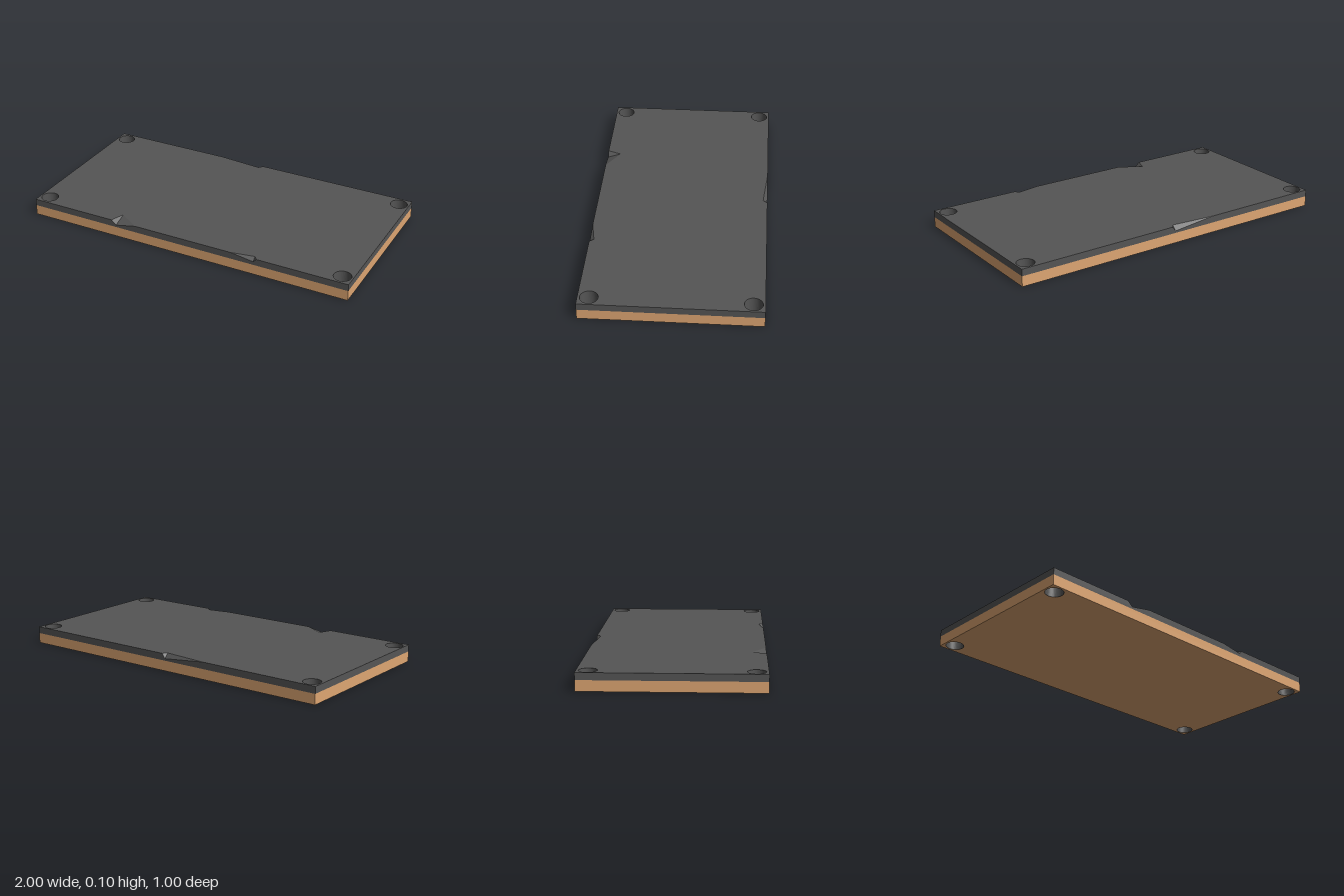
import * as THREE from 'three';
import { mergeGeometries } from 'three/addons/utils/BufferGeometryUtils.js';

const HX = 1, HZ = 0.5, SEAM = 0.06, TOP = 0.1;
const HOLE_X = 0.94, HOLE_Z = 0.437, HOLE_R = 0.05, LINER_R = 0.052;

// Chips broken out of the top edges: start and end along the edge,
// deepest point along it, reach into the top, drop down the wall.
const chips = [
  { side: 1, from: -0.47, to: -0.31, at: -0.44, reach: 0.08, drop: 0.027 },
  { side: 1, from: 0.3, to: 0.46, at: 0.44, reach: 0.025, drop: 0.02 },
  { side: -1, from: -0.27, to: 0.02, at: 0, reach: 0.025, drop: 0.028 },
];

const corners = [-1, 1].flatMap(sx => [-1, 1].map(sz => [sx * HOLE_X, sz * HOLE_Z]));

function circlePath(x, y, r) {
  return new THREE.Path().absarc(x, y, r, 0, Math.PI * 2, true);
}

function drillHoles(shape) {
  for (const [x, z] of corners) shape.holes.push(circlePath(x, z, LINER_R));
  return shape;
}

// Edge outline points of the chips on one side, in order of x
function notches(side, depth) {
  return chips.filter(c => c.side === side).flatMap(c => [
    [c.from, 0], [c.at, c[depth]], [c.to, 0],
  ]);
}

function shapeFrom(points) {
  return new THREE.Shape(points.map(p => new THREE.Vector2(...p)));
}

function triangle(a, b, c) {
  const g = new THREE.BufferGeometry();
  g.setAttribute('position', new THREE.Float32BufferAttribute([...a, ...b, ...c], 3));
  g.setAttribute('uv', new THREE.Float32BufferAttribute([0, 0, 1, 0, 0, 1], 2));
  g.computeVertexNormals();
  return g;
}

function coatingGeometry() {
  const parts = [];

  // Top face, notched along its long edges (shape y is -z)
  const outline = [
    [-HX, -HZ], ...notches(1, 'reach').map(([x, d]) => [x, -HZ + d]), [HX, -HZ],
    [HX, HZ], ...notches(-1, 'reach').reverse().map(([x, d]) => [x, HZ - d]), [-HX, HZ],
  ];
  parts.push(new THREE.ShapeGeometry(drillHoles(shapeFrom(outline)), 24)
    .rotateX(-Math.PI / 2).translate(0, TOP, 0));

  for (const side of [1, -1]) {
    // Long wall with notches in its upper edge
    const wall = [[-HX, SEAM], [HX, SEAM], [HX, TOP],
      ...notches(side, 'drop').reverse().map(([x, d]) => [x, TOP - d]), [-HX, TOP]];
    const turned = side > 0 ? wall : wall.map(([x, y]) => [-x, y]);
    parts.push(new THREE.ShapeGeometry(shapeFrom(turned))
      .translate(0, 0, HZ).rotateY(side > 0 ? 0 : Math.PI));

    // Short end wall
    parts.push(new THREE.PlaneGeometry(2 * HZ, TOP - SEAM)
      .rotateY(side * Math.PI / 2).translate(side * HX, (SEAM + TOP) / 2, 0));
  }

  // Two broken facets inside each chip
  for (const c of chips) {
    const z = c.side * HZ;
    const a = [c.from, TOP, z], b = [c.to, TOP, z];
    const inner = [c.at, TOP, z - c.side * c.reach];
    const low = [c.at, TOP - c.drop, z];
    parts.push(c.side > 0 ? triangle(a, low, inner) : triangle(a, inner, low));
    parts.push(c.side > 0 ? triangle(low, b, inner) : triangle(low, inner, b));
  }
  return mergeGeometries(parts.map(g => (g.index ? g.toNonIndexed() : g)));
}

export function createModel() {
  const group = new THREE.Group();
  const wood = new THREE.MeshStandardMaterial({ color: 0xdea672 });
  const dark = new THREE.MeshStandardMaterial({ color: 0x555555 });

  function add(name, geometry, material) {
    const mesh = new THREE.Mesh(geometry, material);
    mesh.name = name;
    group.add(mesh);
    return mesh;
  }

  // Wooden base board
  const board = drillHoles(shapeFrom([[-HX, -HZ], [HX, -HZ], [HX, HZ], [-HX, HZ]]));
  add('baseBoard', new THREE.ExtrudeGeometry(board, { depth: SEAM, bevelEnabled: false, curveSegments: 24 })
    .rotateX(-Math.PI / 2), wood);

  // Dark top layer with chipped edges
  add('topLayer', coatingGeometry(), dark);

  // Dark lining of the four corner holes
  const ring = new THREE.Shape().absarc(0, 0, LINER_R, 0, Math.PI * 2, false);
  ring.holes.push(circlePath(0, 0, HOLE_R));
  const liner = new THREE.ExtrudeGeometry(ring, { depth: TOP, bevelEnabled: false, curveSegments: 24 })
    .rotateX(-Math.PI / 2);
  for (const [x, z] of corners) add('holeLining', liner, dark).position.set(x, 0, z);

  return group;
}
